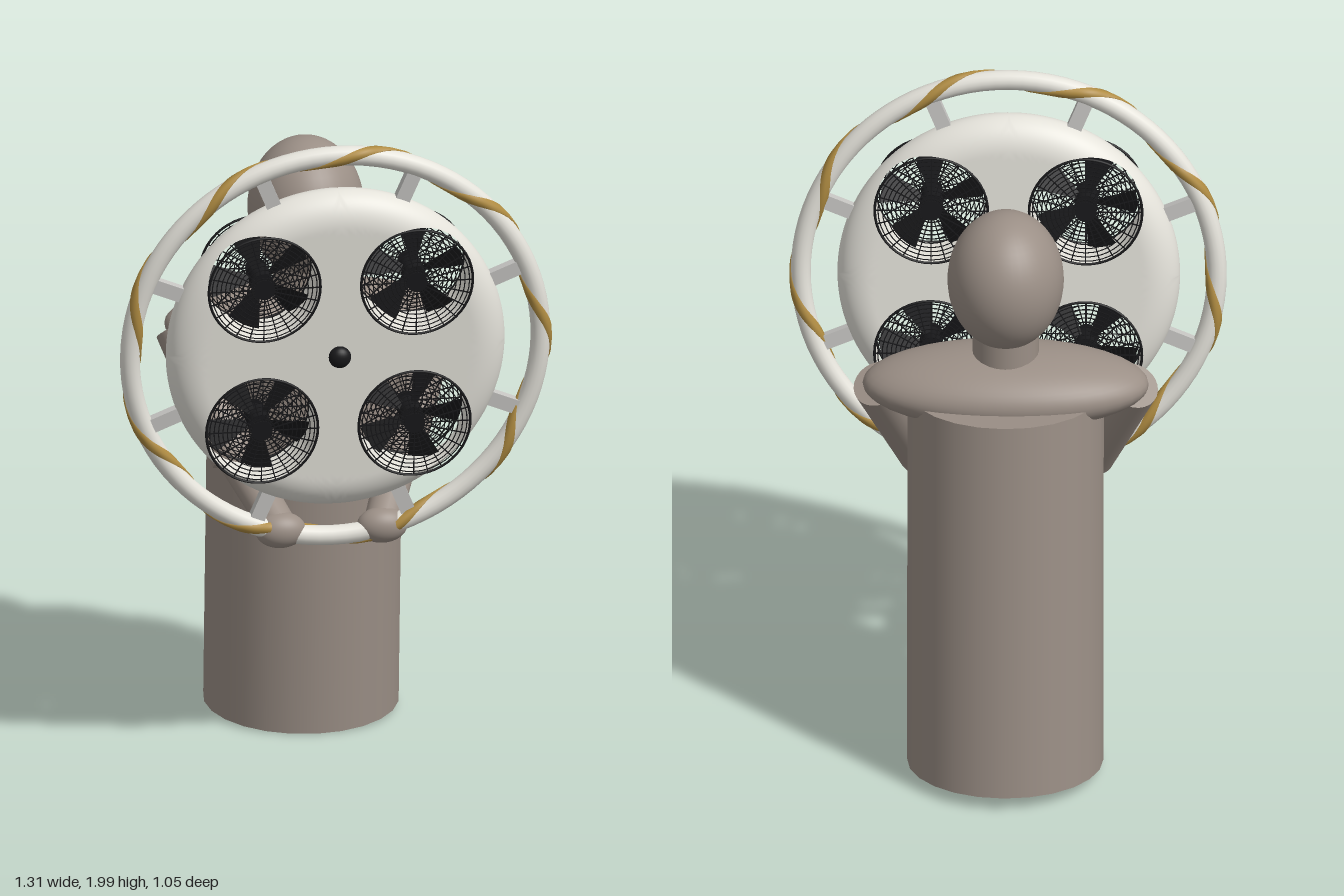
import * as THREE from 'three';

const paint = (name, color) => {
  const m = new THREE.MeshStandardMaterial({ color, side: THREE.DoubleSide });
  m.name = name;
  return m;
};

const SHELL_R = 0.515, FLAT_R = 0.41, HALF = 0.08;   // disc shell
const FAN = 0.232, FAN_R = 0.17;                      // fan offset and radius
const RING_R = 0.625, TUBE_R = 0.03;                  // outer hoop

// Height and normal of the domed shell at (x, y)
function dome(x, y) {
  const r = Math.hypot(x, y), w = SHELL_R - FLAT_R;
  const s = Math.min(1, Math.max(0, (r - FLAT_R) / w));
  const c = Math.sqrt(1 - s * s);
  const k = r > 0 ? s / w / r : 0;
  return { z: HALF * c, n: new THREE.Vector3(x * k, y * k, c / HALF).normalize() };
}

// Triangles over a grid of rows x cols points
function gridIndex(rows, cols) {
  const idx = [];
  for (let i = 0; i < rows - 1; i++) for (let j = 0; j < cols - 1; j++) {
    const a = i * cols + j, b = a + cols;
    idx.push(a, b, a + 1, b, b + 1, a + 1);
  }
  return idx;
}

// One quarter of one shell face, lofted from the fan hole out to the quarter's edge
function shellQuarter() {
  const edge = [], N = 18, A = 36, STEPS = 16;
  for (let i = 0; i < N; i++) edge.push([SHELL_R * i / N, 0]);
  for (let i = 0; i < A; i++) {
    const a = i / A * Math.PI / 2;
    edge.push([SHELL_R * Math.cos(a), SHELL_R * Math.sin(a)]);
  }
  for (let i = 0; i <= N; i++) edge.push([0, SHELL_R * (1 - i / N)]);
  const pos = [], nor = [];
  for (const [ex, ey] of edge) {
    const d = Math.hypot(ex - FAN, ey - FAN);
    const ix = FAN + (ex - FAN) / d * FAN_R, iy = FAN + (ey - FAN) / d * FAN_R;
    for (let j = 0; j <= STEPS; j++) {
      const t = Math.sin(j / STEPS * Math.PI / 2);
      const x = ix + (ex - ix) * t, y = iy + (ey - iy) * t, { z, n } = dome(x, y);
      pos.push(x, y, z);
      nor.push(n.x, n.y, n.z);
    }
  }
  const g = new THREE.BufferGeometry();
  g.setAttribute('position', new THREE.Float32BufferAttribute(pos, 3));
  g.setAttribute('normal', new THREE.Float32BufferAttribute(nor, 3));
  // rows run counter-clockwise, columns outward
  g.setIndex(gridIndex(edge.length, STEPS + 1).reverse());
  return g;
}

// Wall of a fan hole, following the dome at both ends
function holeWall() {
  const g = new THREE.CylinderGeometry(FAN_R, FAN_R, 2, 64, 1, true).rotateX(Math.PI / 2);
  const p = g.attributes.position;
  for (let i = 0; i < p.count; i++)
    p.setZ(i, p.getZ(i) * dome(p.getX(i) + FAN, p.getY(i) + FAN).z);
  return g;
}

// Raised ribbon winding nine times around the hoop
function ribbonGeometry() {
  const pos = [], n = 540, d = 0.055;
  const section = [[-d, -0.003], [-d, 0.004], [0, 0.005], [d, 0.004], [d, -0.003]];
  for (let i = 0; i <= n; i++) {
    const th = i / n * Math.PI * 2, v = 9 * th + Math.PI / 10;
    for (const [dt, lift] of section) {
      const r = TUBE_R + lift, R = RING_R + r * Math.cos(v);
      pos.push(R * Math.cos(th + dt), R * Math.sin(th + dt), r * Math.sin(v));
    }
  }
  const g = new THREE.BufferGeometry();
  g.setAttribute('position', new THREE.Float32BufferAttribute(pos, 3));
  g.setIndex(gridIndex(n + 1, section.length).reverse());
  g.computeVertexNormals();
  return g;
}

export function createModel() {
  const clay = paint('clay', 0x9b8f86), white = paint('shellWhite', 0xe4e2da);
  const black = paint('black', 0x18181a), gold = paint('gold', 0xb08c42);
  const grey = paint('strutGrey', 0xc6c5c2);
  const model = new THREE.Group();
  model.name = 'figureWithFanDisc';

  const add = (parent, name, geo, mat, x = 0, y = 0, z = 0) => {
    const m = new THREE.Mesh(geo, mat);
    m.name = name;
    m.position.set(x, y, z);
    parent.add(m);
    return m;
  };
  const limb = (name, from, to, r0, r1) => {
    const a = new THREE.Vector3(...from), b = new THREE.Vector3(...to);
    const m = add(model, name, new THREE.CylinderGeometry(r1, r0, a.distanceTo(b), 24), clay);
    m.position.copy(a).add(b).multiplyScalar(0.5);
    m.quaternion.setFromUnitVectors(new THREE.Vector3(0, 1, 0), b.sub(a).normalize());
  };
  const blob = (name, rx, ry, rz, x, y, z) =>
    add(model, name, new THREE.SphereGeometry(1, 40, 28).scale(rx, ry, rz), clay, x, y, z);

  // Figure
  limb('body', [0, 0.024, -0.225], [0, 1.234, -0.135], 0.295, 0.295);
  blob('shoulders', 0.43, 0.115, 0.2, 0, 1.255, -0.135);
  limb('neck', [0, 1.28, -0.135], [0, 1.45, -0.135], 0.1, 0.1);
  blob('head', 0.175, 0.215, 0.195, 0, 1.61, -0.135);
  for (const s of [1, -1]) {
    const side = s > 0 ? 'left' : 'right';
    limb(side + 'UpperArm', [s * 0.385, 1.245, -0.125], [s * 0.255, 0.895, 0.09], 0.076, 0.07);
    limb(side + 'Forearm', [s * 0.27, 0.935, 0.05], [s * 0.155, 0.745, 0.325], 0.06, 0.055);
    blob(side + 'Hand', 0.077, 0.055, 0.052, s * 0.155, 0.745, 0.335);
  }

  // Fan disc, leaning forward
  const disc = new THREE.Group();
  disc.name = 'fanDisc';
  disc.position.set(0, 1.345, 0.405);
  disc.rotation.x = 0.1;
  model.add(disc);

  // Hoop, ribbon and struts
  add(disc, 'hoop', new THREE.TorusGeometry(RING_R, TUBE_R, 16, 96), white);
  add(disc, 'ribbon', ribbonGeometry(), gold);
  for (let i = 0; i < 8; i++) {
    const a = (i + 0.5) * Math.PI / 4;
    const strut = add(disc, 'strut', new THREE.BoxGeometry(0.115, 0.045, 0.03), grey,
      0.555 * Math.cos(a), 0.555 * Math.sin(a), 0);
    strut.rotation.z = a;
  }

  // Shell faces with four fans
  const quarter = shellQuarter(), wall = holeWall();
  const hubGeo = new THREE.CylinderGeometry(0.035, 0.035, 0.09, 24).rotateX(Math.PI / 2);
  const bladeGeo = new THREE.RingGeometry(0.03, 0.155, 8, 1, -0.33, 0.66).rotateX(0.45);
  const rimGeo = new THREE.TorusGeometry(FAN_R, 0.004, 6, 48);
  const wires = [];
  for (let k = 1; k <= 10; k++)
    wires.push(new THREE.TorusGeometry(0.025 + k * 0.0135, 0.0017, 4, 40));
  const wireGeo = new THREE.BoxGeometry(FAN_R - 0.03, 0.0032, 0.0032).translate(0.1, 0, 0);
  const capGeo = new THREE.CylinderGeometry(0.032, 0.032, 0.004, 24).rotateX(Math.PI / 2);

  for (let q = 0; q < 4; q++) {
    const sector = new THREE.Group();
    sector.name = 'fanQuarter';
    sector.rotation.z = q * Math.PI / 2;
    disc.add(sector);
    add(sector, 'shellFront', quarter, white);
    // turned half round about the diagonal to make the back face
    const back = add(sector, 'shellBack', quarter, white);
    back.quaternion.setFromAxisAngle(new THREE.Vector3(1, 1, 0).normalize(), Math.PI);
    add(sector, 'fanHousing', wall, white, FAN, FAN, 0);

    const fan = new THREE.Group();
    fan.name = 'fan';
    fan.position.set(FAN, FAN, 0);
    sector.add(fan);
    add(fan, 'hub', hubGeo, black);
    for (let b = 0; b < 5; b++)
      add(fan, 'blade', bladeGeo, black).rotation.z = b * Math.PI * 0.4 + 0.3;
    for (const z of [0.083, -0.083]) {
      const grille = new THREE.Group();
      grille.name = z > 0 ? 'frontGrille' : 'backGrille';
      grille.position.z = z;
      fan.add(grille);
      add(grille, 'grilleRim', rimGeo, black);
      add(grille, 'grilleCap', capGeo, black);
      for (const w of wires) add(grille, 'grilleRing', w, black);
      for (let s = 0; s < 24; s++)
        add(grille, 'grilleSpoke', wireGeo, black).rotation.z = s * Math.PI / 12;
    }
  }

  // Centre fittings
  const knob = new THREE.SphereGeometry(1, 24, 16);
  add(disc, 'frontKnob', knob, black, 0, 0, HALF + 0.008).scale.set(0.034, 0.034, 0.026);
  add(disc, 'backPlate', new THREE.CylinderGeometry(0.1, 0.1, 0.008, 48).rotateX(Math.PI / 2),
    white, 0, 0, -HALF - 0.002);
  add(disc, 'backKnob', knob, gold, 0, 0, -HALF - 0.01).scale.set(0.03, 0.03, 0.026);
  return model;
}
